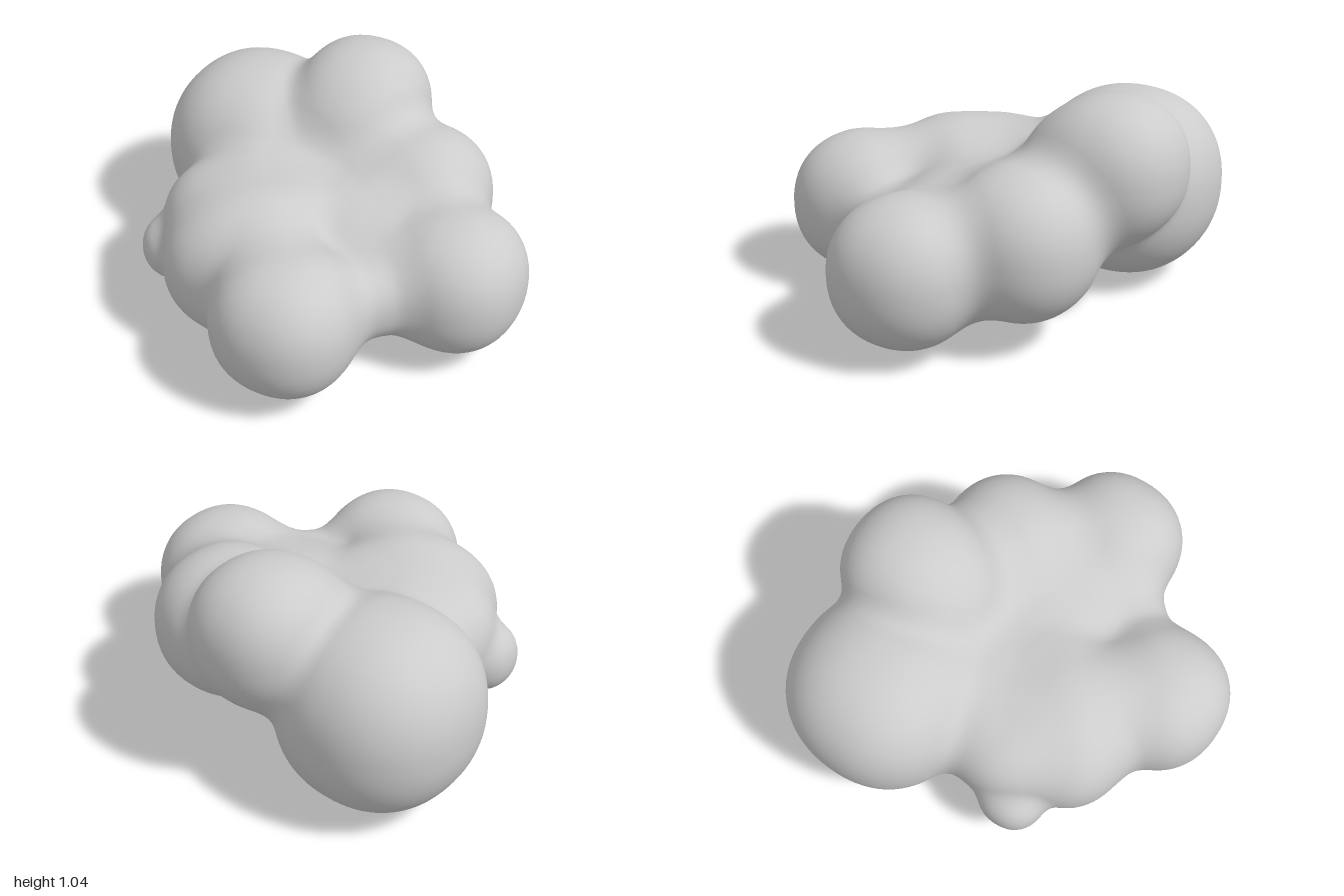
import * as THREE from 'three';

// Lobes of the fused body: centre x, y, z, radius, width of the blend
const lobes = [
  [-0.56, 0.47, -0.42, 0.438, 0.14], // large back right
  [-0.09, 0.725, -0.59, 0.322, 0.08], // raised back
  [-0.09, 0.64, -0.47, 0.31, 0.1],   // its front slope
  [0.32, 0.475, -0.37, 0.34, 0.12],  // back left
  [0.665, 0.385, -0.01, 0.328, 0.14], // left
  [0.15, 0.385, 0.59, 0.328, 0.14],  // front
  [-0.17, 0.38, 0.28, 0.37, 0.14],   // front right
  [-0.28, 0.38, 0.38, 0.27, 0.1],    // its outer bulge
  [-0.43, 0.43, 0.16, 0.265, 0.12],  // shoulder beside it
  [-0.59, 0.31, 0.31, 0.16, 0.05],   // small nub
  [0.38, 0.38, 0.25, 0.17, 0.16],    // web between front and left
  [0.08, 0.43, -0.06, 0.24, 0.2],    // centre fill
  [-0.28, 0.47, -0.1, 0.22, 0.2],    // saddle towards the back right
  [0.3, 0.43, 0.02, 0.19, 0.18],     // saddle towards the left
];
const STEP = 0.03;
const ROUNDNESS = 2.2; // 2 is a true sphere, higher is squarer

// Smoothly blended distance to all lobes
function field(p) {
  let d = 10;
  for (const [x, y, z, r, blend] of lobes) {
    const sum = Math.abs(p[0] - x) ** ROUNDNESS
      + Math.abs(p[1] - y) ** ROUNDNESS
      + Math.abs(p[2] - z) ** ROUNDNESS;
    const e = sum ** (1 / ROUNDNESS) - r;
    const h = Math.max(blend - Math.abs(d - e), 0) / blend;
    d = Math.min(d, e) - h * h * blend / 4;
  }
  return d;
}

function gradient(p) {
  const e = 0.004;
  return [0, 1, 2].map((a) => {
    const hi = [...p], lo = [...p];
    hi[a] += e;
    lo[a] -= e;
    return (field(hi) - field(lo)) / (2 * e);
  });
}

// Skin the field: one vertex per crossed grid cell, one quad per crossed edge
function blobGeometry() {
  const min = [-1.11, -0.09, -1.05];
  const n = [75, 43, 71];
  const stride = [1, n[0], n[0] * n[1]];
  const total = n[0] * n[1] * n[2];
  const values = new Float32Array(total);
  const cellVertex = new Int32Array(total).fill(-1);
  const positions = [], normals = [], indices = [];

  const eachCell = (start, visit) => {
    for (let k = start; k < n[2] - 1; k++)
      for (let j = start; j < n[1] - 1; j++)
        for (let i = start; i < n[0] - 1; i++)
          visit([i, j, k], i + j * stride[1] + k * stride[2]);
  };

  for (let id = 0; id < total; id++) {
    const c = [id % n[0], Math.floor(id / n[0]) % n[1], Math.floor(id / stride[2])];
    values[id] = field(c.map((v, a) => min[a] + v * STEP));
  }

  eachCell(0, (c, id) => {
    // Average the edge crossings, then settle the vertex onto the surface
    const sum = [0, 0, 0];
    let count = 0;
    for (let corner = 0; corner < 8; corner++) {
      const bits = [corner & 1, (corner >> 1) & 1, corner >> 2];
      const from = id + bits[0] + bits[1] * stride[1] + bits[2] * stride[2];
      for (let a = 0; a < 3; a++) {
        if (bits[a]) continue;
        const u = values[from], v = values[from + stride[a]];
        if ((u < 0) === (v < 0)) continue;
        for (let b = 0; b < 3; b++) sum[b] += bits[b] + (a === b ? u / (u - v) : 0);
        count++;
      }
    }
    if (!count) return;
    let p = sum.map((s, a) => min[a] + (c[a] + s / count) * STEP);
    const g = gradient(p);
    const d = field(p) / Math.max(g[0] ** 2 + g[1] ** 2 + g[2] ** 2, 0.2);
    p = p.map((v, a) => v - g[a] * d);
    const normal = new THREE.Vector3(...gradient(p)).normalize();
    cellVertex[id] = positions.length / 3;
    positions.push(...p);
    normals.push(normal.x, normal.y, normal.z);
  });

  eachCell(1, (c, id) => {
    for (let a = 0; a < 3; a++) {
      const inside = values[id] < 0;
      if (inside === (values[id + stride[a]] < 0)) continue;
      const sb = stride[(a + 1) % 3], sc = stride[(a + 2) % 3];
      const q = [id - sb - sc, id - sc, id, id - sb].map((i) => cellVertex[i]);
      if (!inside) q.reverse();
      indices.push(q[0], q[1], q[2], q[0], q[2], q[3]);
    }
  });

  const geometry = new THREE.BufferGeometry();
  geometry.setAttribute('position', new THREE.Float32BufferAttribute(positions, 3));
  geometry.setAttribute('normal', new THREE.Float32BufferAttribute(normals, 3));
  geometry.setIndex(indices);
  return geometry;
}

export function createModel() {
  const group = new THREE.Group();
  group.name = 'blobCluster';
  const body = new THREE.Mesh(
    blobGeometry(),
    new THREE.MeshStandardMaterial({ color: 0xcccccc }),
  );
  body.name = 'fusedLobes';
  group.add(body);
  return group;
}
